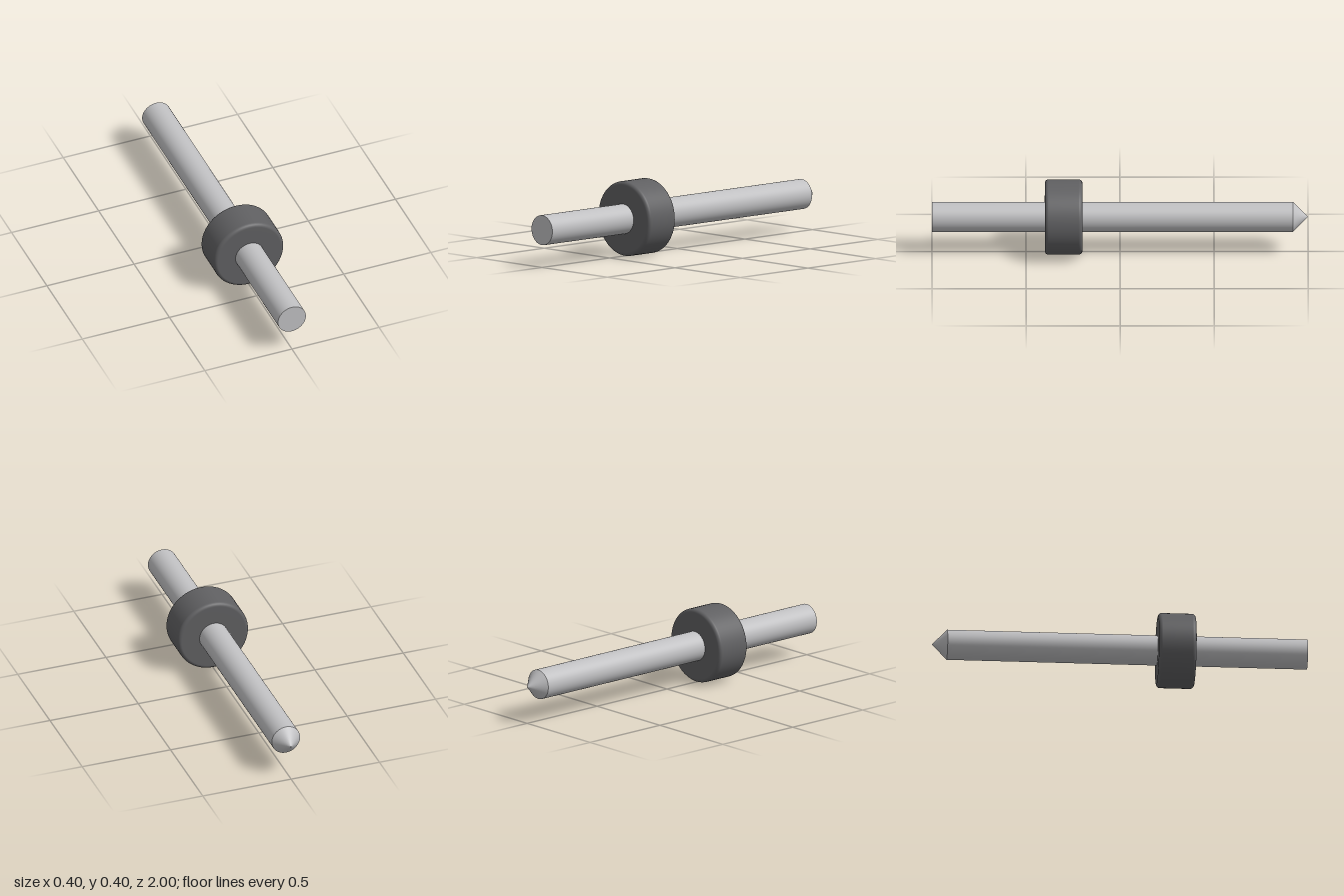
import * as THREE from 'three';

const SEGMENTS = 64;
const SHAFT_R = 0.08;
const COLLAR_R = 0.2;
const AXIS_Y = 0.2;

export function createModel() {
  const group = new THREE.Group();
  group.name = 'pinWithCollar';

  const steel = new THREE.MeshStandardMaterial({ color: 0xc0c0c2 });
  steel.name = 'light steel';
  const darkGrey = new THREE.MeshStandardMaterial({ color: 0x606062 });
  darkGrey.name = 'dark grey';

  const add = (name, geometry, material, z) => {
    const mesh = new THREE.Mesh(geometry, material);
    mesh.name = name;
    mesh.position.set(0, AXIS_Y, z);
    group.add(mesh);
  };

  // Round shaft along z, with a flat front end
  const shaft = new THREE.CylinderGeometry(SHAFT_R, SHAFT_R, 1.92, SEGMENTS, 1, true);
  add('shaft', shaft.rotateX(Math.PI / 2), steel, 0.04);
  add('shaftEnd', new THREE.CircleGeometry(SHAFT_R, SEGMENTS), steel, 1);

  // Conical tip at the back
  const tip = new THREE.ConeGeometry(SHAFT_R, 0.08, SEGMENTS, 1, true);
  add('tip', tip.rotateX(-Math.PI / 2), steel, -0.96);

  // Collar with rounded rims
  const half = 0.1;
  const fillet = 0.02;
  const profile = [new THREE.Vector2(SHAFT_R, -half)];
  for (const side of [-1, 1]) {
    for (let i = 0; i <= 6; i++) {
      const a = ((side < 0 ? i - 6 : i) / 6) * (Math.PI / 2);
      profile.push(new THREE.Vector2(
        COLLAR_R - fillet + fillet * Math.cos(a),
        side * (half - fillet) + fillet * Math.sin(a)
      ));
    }
  }
  profile.push(new THREE.Vector2(SHAFT_R, half));
  const collar = new THREE.LatheGeometry(profile, SEGMENTS);
  add('collar', collar.rotateX(Math.PI / 2), darkGrey, 0.3);

  return group;
}
